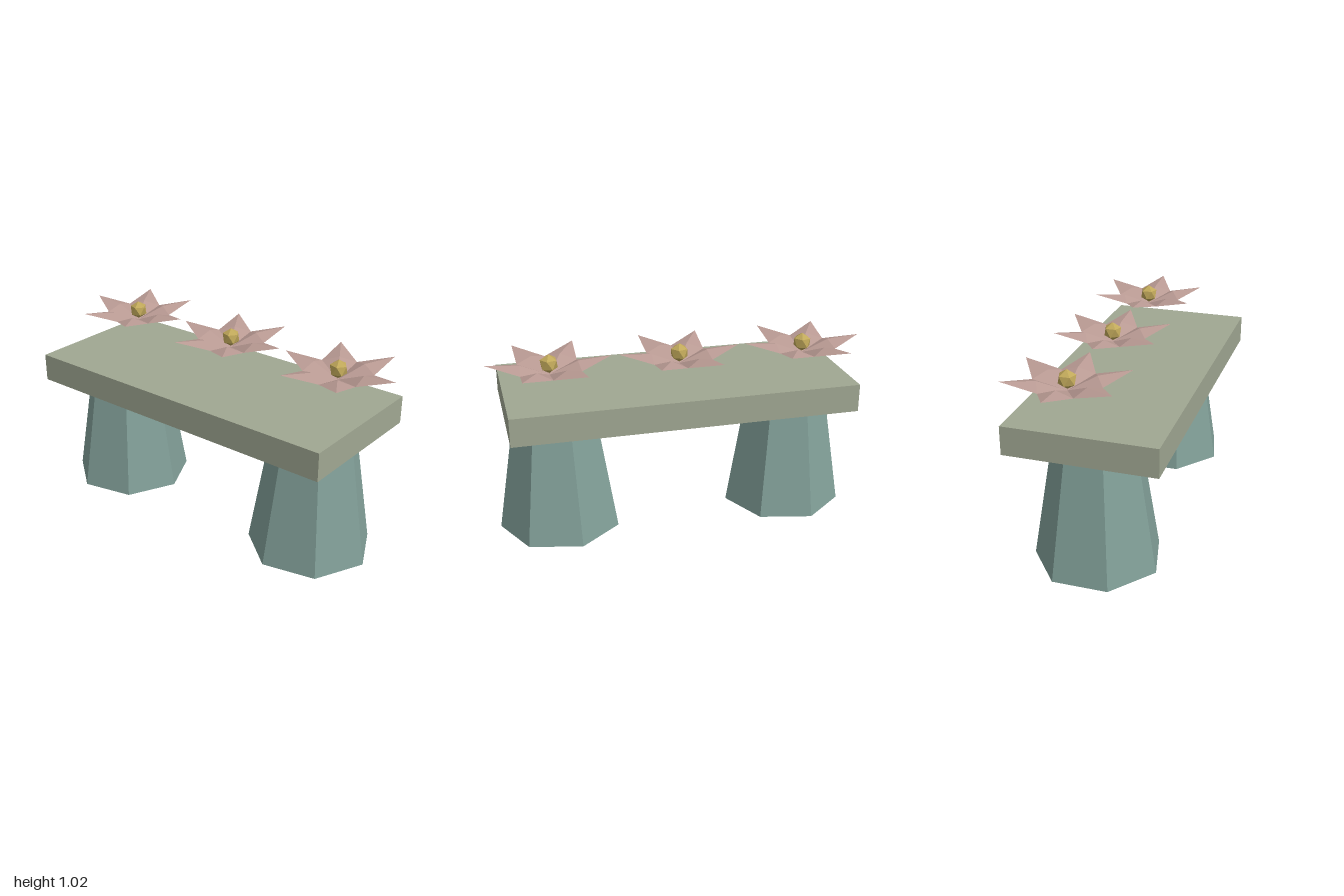
import * as THREE from 'three';

const mat = (name, color, side = THREE.FrontSide) => {
  const m = new THREE.MeshStandardMaterial({ color, flatShading: true, side });
  m.name = name;
  return m;
};

// Open six-petalled bloom; each petal is folded up at a raised middle point
function bloomGeometry() {
  const pts = [];
  const at = (deg, r, y) => {
    const a = THREE.MathUtils.degToRad(deg);
    return [Math.cos(a) * r, y, -Math.sin(a) * r];
  };
  const base = [0, 0, 0];
  for (let deg = 0; deg < 360; deg += 60) {
    const right = at(deg - 30, 0.178, 0.036);
    const left = at(deg + 30, 0.178, 0.036);
    const fold = at(deg, 0.147, 0.062);
    const tip = at(deg, 0.32, 0.075);
    pts.push(base, right, fold, base, fold, left, right, tip, fold, fold, tip, left);
  }
  const g = new THREE.BufferGeometry();
  g.setAttribute('position', new THREE.Float32BufferAttribute(pts.flat(), 3));
  g.computeVertexNormals();
  return g;
}

export function createModel() {
  const group = new THREE.Group();
  const slabStone = mat('sage stone', 0xa0a792);
  const legStone = mat('teal stone', 0x82a099);
  const petalPink = mat('dusty pink', 0xb99a93, THREE.DoubleSide);
  const gold = mat('gold', 0xc0a85a);
  const add = (parent, name, geometry, material, x, y, z) => {
    const mesh = new THREE.Mesh(geometry, material);
    mesh.name = name;
    mesh.position.set(x, y, z);
    parent.add(mesh);
  };

  // Table slab
  add(group, 'slab', new THREE.BoxGeometry(1.83, 0.15, 0.775), slabStone, 0, 0.725, 0.0125);

  // Tapered seven-sided legs, one corner pointing to +x
  const leg = new THREE.CylinderGeometry(0.223, 0.331, 0.65, 7, 1, false, Math.PI / 2);
  add(group, 'rightLeg', leg, legStone, -0.645, 0.325, 0.0125);
  add(group, 'leftLeg', leg, legStone, 0.645, 0.325, 0.0125);

  // Row of floating flowers, each with a faceted bud standing on a corner
  const bloom = bloomGeometry();
  const bud = new THREE.IcosahedronGeometry(0.05, 0);
  bud.rotateX(-Math.atan((1 + Math.sqrt(5)) / 2)).rotateY(Math.PI / 2);
  for (const x of [-0.678, 0, 0.678]) {
    const flower = new THREE.Group();
    flower.name = 'flower';
    flower.position.set(x, 0.915, -0.122);
    add(flower, 'petals', bloom, petalPink, 0, 0, 0);
    add(flower, 'bud', bud, gold, 0, 0.059, 0);
    group.add(flower);
  }
  return group;
}
